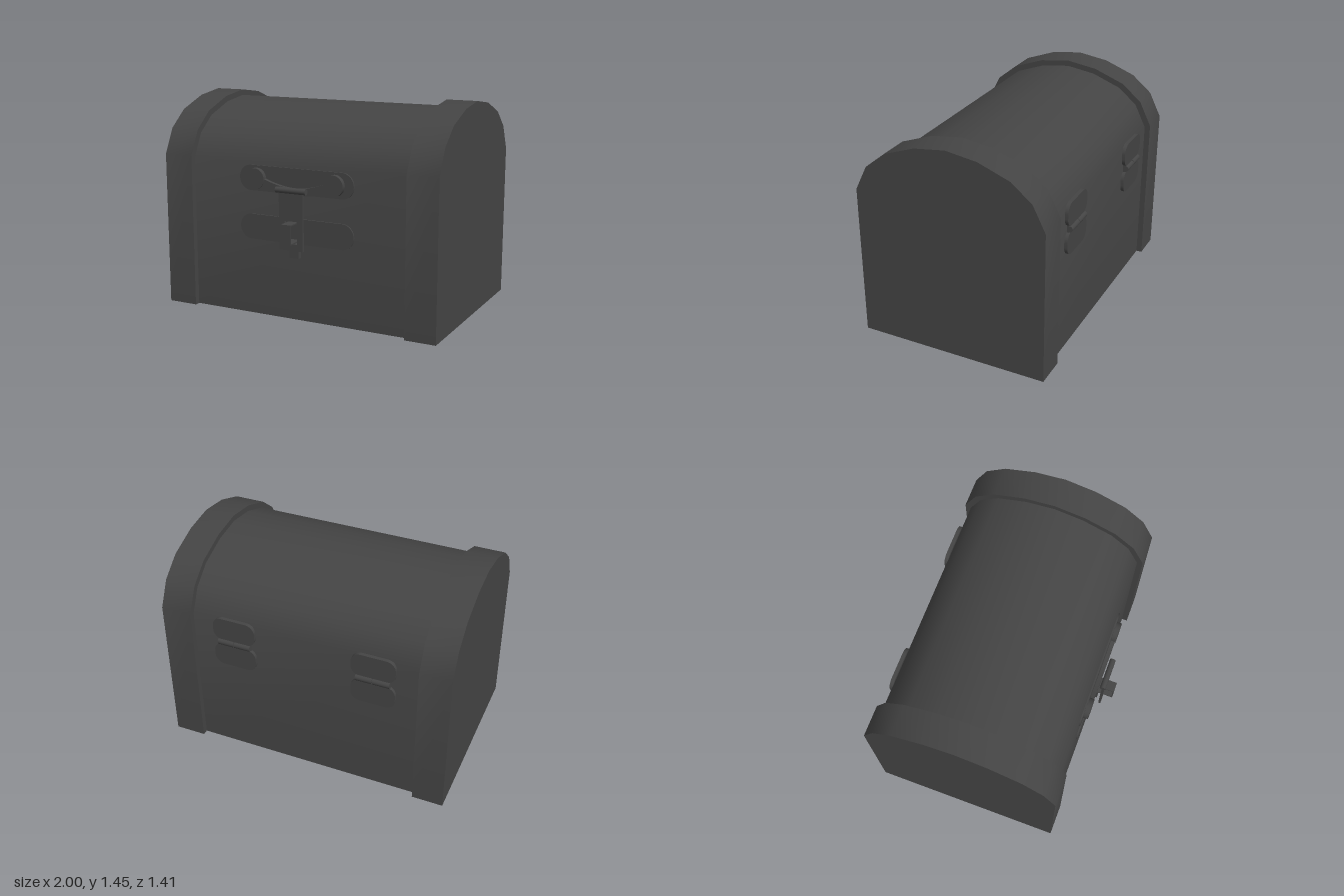
import * as THREE from 'three';
import { toCreasedNormals } from 'three/addons/utils/BufferGeometryUtils.js';

const material = new THREE.MeshStandardMaterial({ color: 0x444444 });

function add(parent, name, geometry, x = 0, y = 0, z = 0) {
  const mesh = new THREE.Mesh(geometry, material);
  mesh.name = name;
  mesh.position.set(x, y, z);
  parent.add(mesh);
  return mesh;
}

const slab = (shape, depth) => toCreasedNormals(
  new THREE.ExtrudeGeometry(shape, { depth, bevelEnabled: false, curveSegments: 10 }), 0.6);

// Rectangle with rounded corners, centred on the origin
function roundedShape(w, h, r) {
  const s = new THREE.Shape();
  const x = w / 2 - r, y = h / 2 - r;
  s.absarc(x, y, r, 0, Math.PI / 2);
  s.absarc(-x, y, r, Math.PI / 2, Math.PI);
  s.absarc(-x, -y, r, Math.PI, Math.PI * 1.5);
  s.absarc(x, -y, r, Math.PI * 1.5, Math.PI * 2);
  s.closePath();
  return s;
}

// Arched chest section, drawn in by an inset and extruded along x
function archGeometry(inset, length) {
  const half = [[0.655, 0], [0.655, 1.05], [0.57, 1.22], [0.43, 1.335], [0.215, 1.415]];
  const k = 1 - inset / 0.655;
  const fit = ([d, y]) => new THREE.Vector2(d * k, y > 1 ? 1.05 + (y - 1.05) * k - inset * 0.4 : y);
  const right = half.map(fit);
  const left = right.map(p => new THREE.Vector2(-p.x, p.y)).reverse();
  const shape = new THREE.Shape([...right, new THREE.Vector2(0, 1.445 - inset), ...left]);
  const g = new THREE.ExtrudeGeometry(shape, { depth: length, bevelEnabled: false });
  g.translate(0, 0, -length / 2).rotateY(Math.PI / 2);
  return toCreasedNormals(g, 0.6);
}

function rod(radius, length) {
  return new THREE.CylinderGeometry(radius, radius, length, 16).rotateZ(Math.PI / 2);
}

function createLatch() {
  const latch = new THREE.Group();
  latch.name = 'latch';

  // Mounting plates on lid and base
  add(latch, 'upperPlate', slab(roundedShape(0.84, 0.17, 0.084), 0.02), 0, 0.935, 0.555);
  add(latch, 'lowerPlate', slab(roundedShape(0.84, 0.17, 0.084), 0.02), 0, 0.605, 0.555);

  // Curved bail with a round boss at each end
  const bail = new THREE.Shape();
  bail.moveTo(-0.29, 0.9);
  bail.lineTo(-0.315, 0.875);
  bail.lineTo(-0.26, 0.878);
  bail.quadraticCurveTo(-0.17, 0.85, 0, 0.85);
  bail.quadraticCurveTo(0.17, 0.85, 0.26, 0.878);
  bail.lineTo(0.315, 0.875);
  bail.lineTo(0.29, 0.9);
  bail.lineTo(0.22, 0.938);
  bail.quadraticCurveTo(0.11, 0.895, 0, 0.892);
  bail.quadraticCurveTo(-0.11, 0.895, -0.22, 0.938);
  bail.closePath();
  add(latch, 'bail', slab(bail, 0.032), 0, 0, 0.57);
  for (const side of [-1, 1]) {
    const boss = new THREE.CylinderGeometry(0.07, 0.07, 0.04, 24).rotateX(Math.PI / 2);
    add(latch, 'bailBoss', boss, side * 0.288, 0.935, 0.587);
  }

  // Hanging hasp with a slot for the staple
  add(latch, 'haspPin', rod(0.02, 0.22), 0, 0.885, 0.631);
  const hasp = new THREE.Shape([[-0.087, 0.49], [0.087, 0.49], [0.087, 0.885], [-0.087, 0.885]]
    .map(p => new THREE.Vector2(...p)));
  hasp.holes.push(new THREE.Path([[-0.045, 0.535], [-0.045, 0.685], [0.045, 0.685], [0.045, 0.535]]
    .map(p => new THREE.Vector2(...p))));
  add(latch, 'hasp', slab(hasp, 0.016), 0, 0, 0.623);
  add(latch, 'haspTab', new THREE.BoxGeometry(0.07, 0.1, 0.03), 0, 0.48, 0.585);

  // Staple loop, open from side to side
  for (const y of [0.548, 0.672])
    add(latch, 'stapleArm', new THREE.BoxGeometry(0.07, 0.007, 0.135), 0, y, 0.636);
  add(latch, 'stapleFront', new THREE.BoxGeometry(0.07, 0.131, 0.007), 0, 0.61, 0.7015);
  return latch;
}

function createHinge(x) {
  const hinge = new THREE.Group();
  hinge.name = 'hinge';
  for (const y of [0.98, 0.78])
    add(hinge, 'hingeLeaf', slab(roundedShape(0.3, 0.165, 0.065), 0.025), 0, y, -0.687);
  // Split barrel and its bridge to the leaves
  for (const side of [-1, 1])
    add(hinge, 'hingeBarrel', rod(0.022, 0.112), side * 0.059, 0.88, -0.683);
  add(hinge, 'hingePin', rod(0.014, 0.22), 0, 0.88, -0.683);
  add(hinge, 'hingeBridge', new THREE.BoxGeometry(0.23, 0.08, 0.015), 0, 0.88, -0.672);
  hinge.position.x = x;
  return hinge;
}

export function createModel() {
  const chest = new THREE.Group();
  chest.name = 'chest';

  // Main body and the thicker bands at both ends
  add(chest, 'body', archGeometry(0.04, 1.6), 0, 0, -0.05);
  for (const side of [-1, 1])
    add(chest, 'endBand', archGeometry(0, 0.212), side * 0.894, 0, -0.05);

  chest.add(createLatch());
  for (const side of [-1, 1]) chest.add(createHinge(side * 0.485));
  return chest;
}
